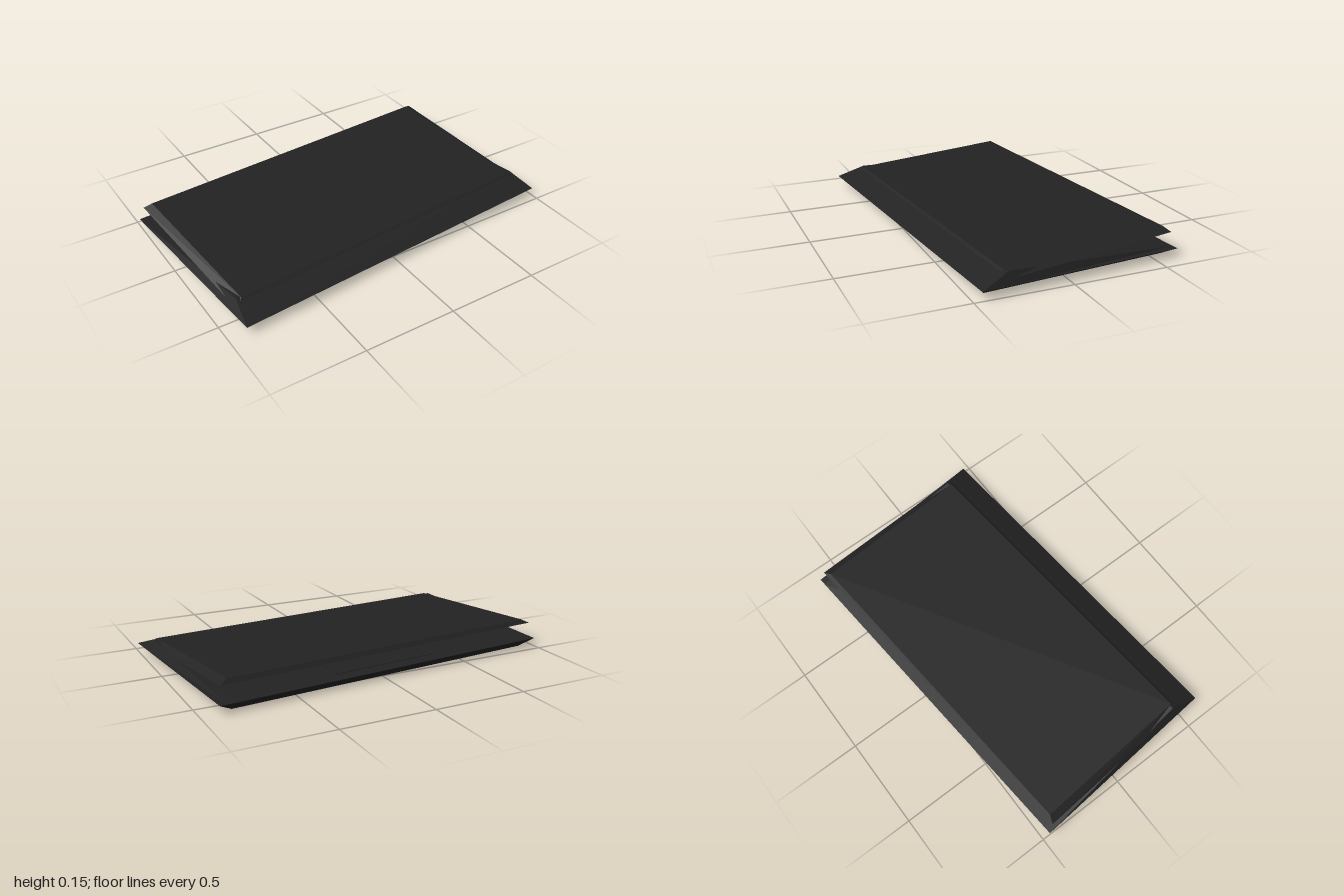
import * as THREE from 'three';

const material = new THREE.MeshStandardMaterial({ color: 0x222222, flatShading: true });

// A ring is a four-cornered cross-section: half width, then z and y of its front and back edges.
function ring(w, frontZ, frontY, backZ, backY) {
  return [[-w, frontY, frontZ], [w, frontY, frontZ], [w, backY, backZ], [-w, backY, backZ]];
}

// Joins rings from the bottom up into a closed, flat-faced solid.
function loft(name, rings) {
  const positions = [];
  const triangle = (...corners) => {
    const [a, b, c] = corners.map((p) => new THREE.Vector3(...p));
    const area = b.clone().sub(a).cross(c.clone().sub(a)).length();
    if (area > 1e-8) corners.forEach((p) => positions.push(...p));
  };
  const quad = (a, b, c, d) => {
    triangle(a, b, c);
    triangle(a, c, d);
  };
  quad(...[...rings[0]].reverse());
  for (let r = 0; r + 1 < rings.length; r++) {
    for (let i = 0; i < 4; i++) {
      const j = (i + 1) % 4;
      quad(rings[r][i], rings[r][j], rings[r + 1][j], rings[r + 1][i]);
    }
  }
  quad(...rings[rings.length - 1]);
  const geometry = new THREE.BufferGeometry();
  geometry.setAttribute('position', new THREE.Float32BufferAttribute(positions, 3));
  geometry.computeVertexNormals();
  const mesh = new THREE.Mesh(geometry, material);
  mesh.name = name;
  return mesh;
}

export function createModel() {
  const laptop = new THREE.Group();
  laptop.name = 'laptop';

  // Base: bevelled underside, sharp rim, deck rising to the hinge ridge
  laptop.add(loft('base', [
    ring(0.88, 0.495, 0, -0.495, 0),
    ring(0.957, 0.54, 0.045, -0.54, 0.045),
    ring(0.92, 0.39, 0.1, -0.54, 0.045),
  ]));

  // Lid: thin bevelled slab, ajar on the side away from the hinge
  laptop.add(loft('lid', [
    ring(0.938, 0.45, 0.065, -0.51, 0.13),
    ring(0.896, 0.4, 0.101, -0.49, 0.151),
  ]));

  // Touchpad: thin plate lying on the sloping deck
  const slope = Math.atan2(0.055, 0.93);
  const touchpad = new THREE.Mesh(new THREE.BoxGeometry(0.6, 0.004, 0.26), material);
  touchpad.name = 'touchpad';
  touchpad.position.set(0, 0.045 + 0.2 * Math.tan(slope), -0.34);
  touchpad.rotation.x = -slope;
  laptop.add(touchpad);

  // The whole computer is turned slightly
  laptop.rotation.y = 0.084;
  const model = new THREE.Group();
  model.add(laptop);
  return model;
}
